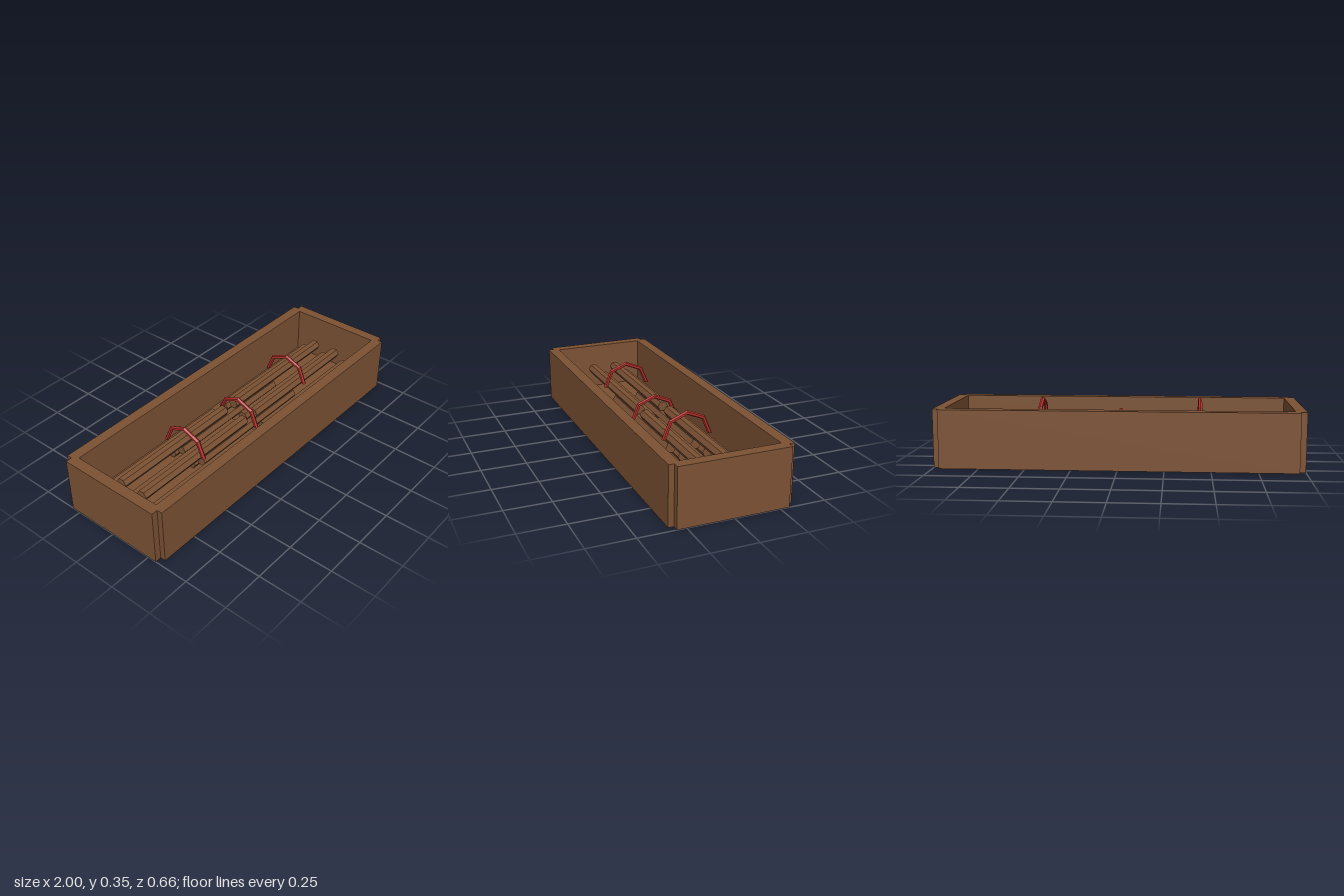
import * as THREE from 'three';

const wood = new THREE.MeshStandardMaterial({ color: 0x7c5234, flatShading: true });
wood.name = 'brown wood';
const red = new THREE.MeshStandardMaterial({ color: 0xb5302a, flatShading: true, side: THREE.DoubleSide });
red.name = 'red cord';

const HEIGHT = 0.322, FLOOR = 0.05;

function add(parent, name, geometry, material, x = 0, y = 0, z = 0) {
  const mesh = new THREE.Mesh(geometry, material);
  mesh.name = name;
  mesh.position.set(x, y, z);
  parent.add(mesh);
  return mesh;
}

// Upright slab from a flat outline
function slab(shape, depth) {
  return new THREE.ExtrudeGeometry(shape, { depth, bevelEnabled: false }).rotateX(-Math.PI / 2);
}

// Rectangle with notched corners where the end boards meet the long boards
function trayOutline() {
  const X = 1, x = 0.965, Z = 0.33, z = 0.3;
  return new THREE.Shape([
    [-x, -Z], [x, -Z], [x, -z], [X, -z], [X, z], [x, z],
    [x, Z], [-x, Z], [-x, z], [-X, z], [-X, -z], [-x, -z],
  ].map(p => new THREE.Vector2(...p)));
}

function createTray() {
  const tray = new THREE.Group();
  tray.name = 'tray';
  const walls = trayOutline();
  walls.holes.push(new THREE.Path([
    [-0.94, -0.27], [-0.94, 0.27], [0.94, 0.27], [0.94, -0.27],
  ].map(p => new THREE.Vector2(...p))));
  add(tray, 'walls', slab(walls, HEIGHT), wood);
  // Floor board fills the opening
  add(tray, 'floor', new THREE.BoxGeometry(1.88, FLOOR, 0.54), wood, 0, FLOOR / 2, 0);
  return tray;
}

// Five six-sided sticks in two staggered layers, held by an arched tie
function createBundle(name, x, y) {
  const bundle = new THREE.Group();
  bundle.name = name;
  bundle.position.set(x, y, 0);
  const stick = new THREE.CylinderGeometry(0.031, 0.031, 0.808, 6).rotateZ(Math.PI / 2);
  for (let i = -2; i <= 2; i++) {
    add(bundle, 'stick', stick, wood, 0, i % 2 ? 0.058 : 0, i * 0.072);
  }
  const tie = new THREE.TorusGeometry(0.131, 0.0125, 6, 4, Math.PI).rotateY(Math.PI / 2);
  add(bundle, 'tie', tie, red, 0, 0.071, 0);
  return bundle;
}

export function createModel() {
  const model = new THREE.Group();
  model.name = 'trayOfSticks';
  model.add(createTray());
  model.add(createBundle('lowerBundle', 0, 0.08));
  for (const side of [-1, 1]) {
    model.add(createBundle(side > 0 ? 'leftBundle' : 'rightBundle', side * 0.444, 0.14));
  }
  return model;
}
